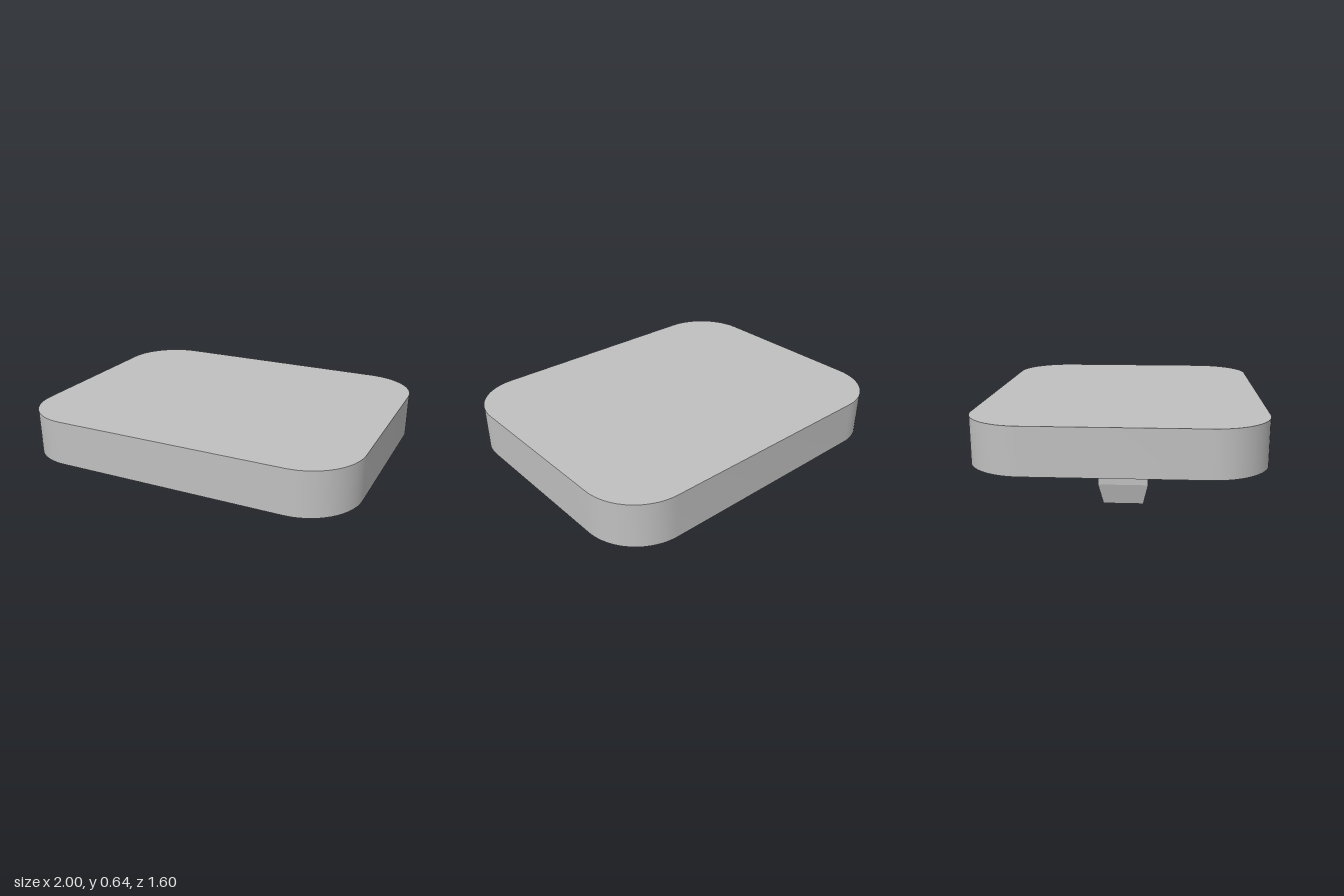
import * as THREE from 'three';
import { toCreasedNormals } from 'three/addons/utils/BufferGeometryUtils.js';

const TOP = 0.64, BOTTOM = 0.378, FLOOR = 0.428;
const HALF_X = 1, HALF_Z = 0.8, RADIUS = 0.32, RIM = 0.105;

// Rounded rectangle outline, pulled in by inset, at height y
function roundedRing(inset, y, steps = 16) {
  const r = RADIUS - inset, points = [];
  for (let corner = 0; corner < 4; corner++) {
    const sx = corner === 0 || corner === 3 ? 1 : -1;
    const sz = corner < 2 ? 1 : -1;
    for (let i = 0; i <= steps; i++) {
      const a = (corner + i / steps) * Math.PI / 2;
      points.push([
        sx * (HALF_X - RADIUS) + r * Math.cos(a), y,
        sz * (HALF_Z - RADIUS) + r * Math.sin(a),
      ]);
    }
  }
  return points;
}

// Skin between successive rings, with a flat fan closing each end
function skin(rings) {
  const pos = [], n = rings[0].length;
  const tri = (a, b, c) => pos.push(...a, ...b, ...c);
  const first = rings[0], last = rings[rings.length - 1];
  for (let i = 0; i < n; i++) {
    const j = (i + 1) % n;
    tri([0, first[0][1], 0], first[j], first[i]);
    for (let k = 0; k < rings.length - 1; k++) {
      const a = rings[k], b = rings[k + 1];
      tri(a[i], a[j], b[i]);
      tri(a[j], b[j], b[i]);
    }
    tri([0, last[0][1], 0], last[i], last[j]);
  }
  const geo = new THREE.BufferGeometry();
  geo.setAttribute('position', new THREE.Float32BufferAttribute(pos, 3));
  geo.computeVertexNormals();
  return toCreasedNormals(geo, 0.6);
}

// Rectangular prong whose lowest section tapers on all four sides
function prongGeometry() {
  const shoulder = 0.13;
  const geo = new THREE.BoxGeometry(0.115, 1, 0.3, 1, 2, 1).toNonIndexed();
  const p = geo.attributes.position;
  for (let i = 0; i < p.count; i++) {
    const y = p.getY(i);
    if (y > 0.25) p.setY(i, FLOOR);
    else if (y > -0.25) p.setY(i, shoulder);
    else p.setXYZ(i, p.getX(i) * 0.4, 0, p.getZ(i) * 0.8);
  }
  geo.computeVertexNormals();
  return geo;
}

export function createModel() {
  const group = new THREE.Group();
  const grey = new THREE.MeshStandardMaterial({ color: 0xc0c0c0 });
  grey.name = 'light grey';

  // Cover with a shallow recess inside the rim underneath
  const cover = new THREE.Mesh(skin([
    roundedRing(0, TOP), roundedRing(0, BOTTOM),
    roundedRing(RIM, BOTTOM), roundedRing(RIM, FLOOR),
  ]), grey);
  cover.name = 'cover';
  group.add(cover);

  // Pair of prongs
  const geo = prongGeometry();
  for (const side of [-1, 1]) {
    const prong = new THREE.Mesh(geo, grey);
    prong.name = side > 0 ? 'leftProng' : 'rightProng';
    prong.position.x = side * 0.306;
    group.add(prong);
  }
  return group;
}
